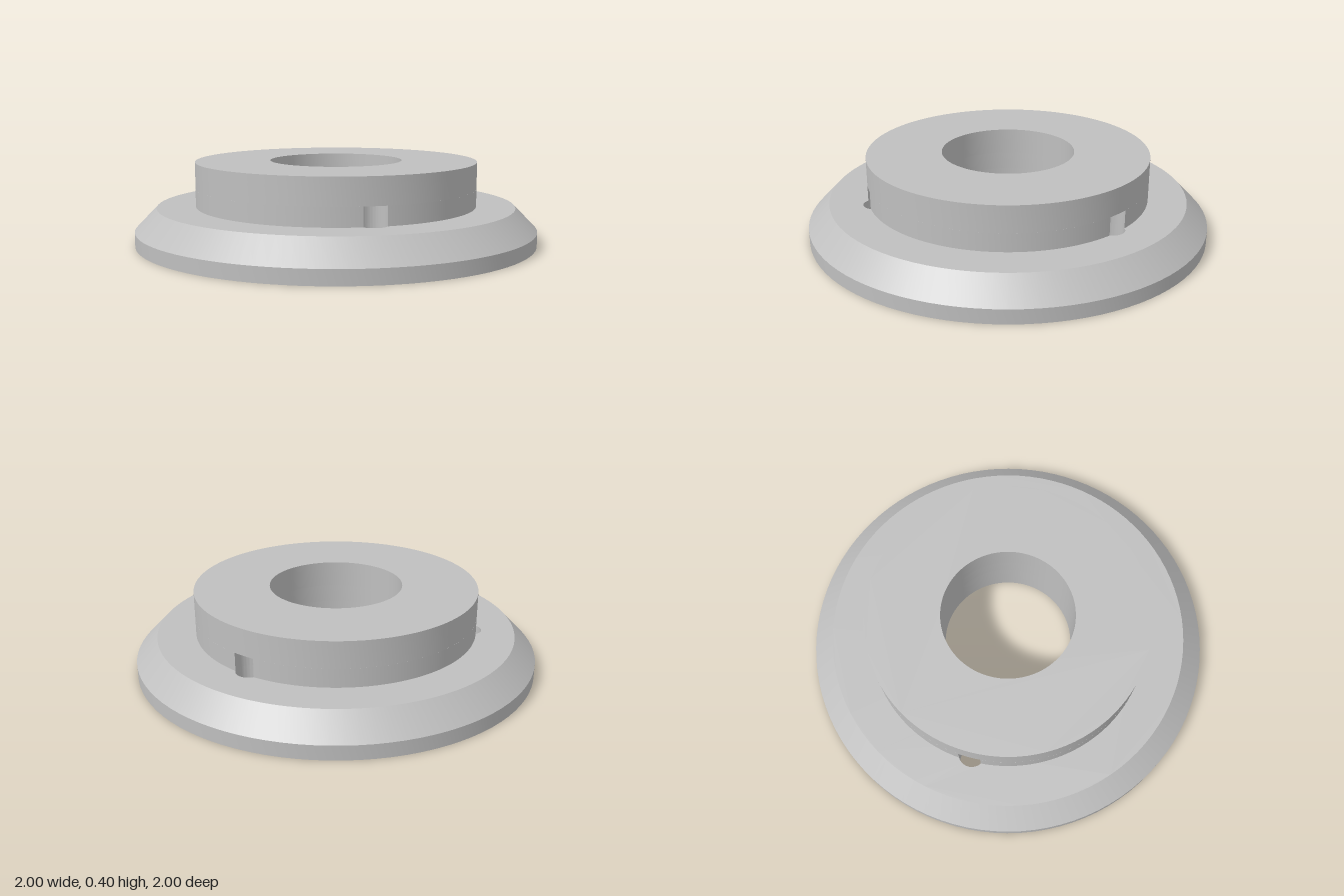
import * as THREE from 'three';
import { toCreasedNormals } from 'three/addons/utils/BufferGeometryUtils.js';

const BORE = 0.33, HUB = 0.703, FLANGE = 0.893;
const PIN = 0.064, PIN_CIRCLE = 0.667; // pin hole radius and distance from the axis
const ANGLES = [90, 210, 330].map(THREE.MathUtils.degToRad);

const circle = (r, x = 0, y = 0) => new THREE.Path().absarc(x, y, r, 0, Math.PI * 2, false);
const pinCentre = (a) => [PIN_CIRCLE * Math.cos(a), PIN_CIRCLE * Math.sin(a)];

function disc(r) {
  const shape = new THREE.Shape().absarc(0, 0, r, 0, Math.PI * 2, false);
  shape.holes.push(circle(BORE));
  return shape;
}

// Hub outline where the pin holes break through its wall
function notchedDisc() {
  const a = (HUB ** 2 + PIN_CIRCLE ** 2 - PIN ** 2) / (2 * PIN_CIRCLE);
  const h = Math.sqrt(HUB ** 2 - a ** 2);
  const d = Math.atan2(h, a), b = Math.atan2(h, a - PIN_CIRCLE);
  const shape = new THREE.Shape();
  ANGLES.forEach((t) => {
    shape.absarc(...pinCentre(t), PIN, t - b, t + b - Math.PI * 2, true);
    shape.absarc(0, 0, HUB, t + d, t + Math.PI * 2 / 3 - d, false);
  });
  shape.holes.push(circle(BORE));
  return shape;
}

export function createModel() {
  const group = new THREE.Group();
  const metal = new THREE.MeshStandardMaterial({ color: 0xbfbfbf });
  metal.name = 'grey metal';

  const add = (name, geometry) => {
    const mesh = new THREE.Mesh(toCreasedNormals(geometry, 0.5), metal);
    mesh.name = name;
    group.add(mesh);
  };
  const slab = (name, shape, y0, y1) => {
    const g = new THREE.ExtrudeGeometry(shape, { depth: y1 - y0, bevelEnabled: false, curveSegments: 48 });
    add(name, g.rotateX(-Math.PI / 2).translate(0, y0, 0));
  };

  // Flange with three pin holes, its underside slightly recessed
  const flange = disc(FLANGE);
  ANGLES.forEach((t) => flange.holes.push(circle(PIN, ...pinCentre(t))));
  slab('flange', flange, 0.01, 0.18);

  // Chamfered rim
  const rim = [[FLANGE, 0.01], [0.905, 0.01], [0.905, 0], [1, 0], [1, 0.07], [FLANGE, 0.18]];
  add('chamferedRim', new THREE.LatheGeometry(rim.map((p) => new THREE.Vector2(...p)), 96));

  // Hub, notched below and plain above
  slab('notchedHub', notchedDisc(), 0.18, 0.27);
  slab('upperHub', disc(HUB), 0.27, 0.4);

  return group;
}
